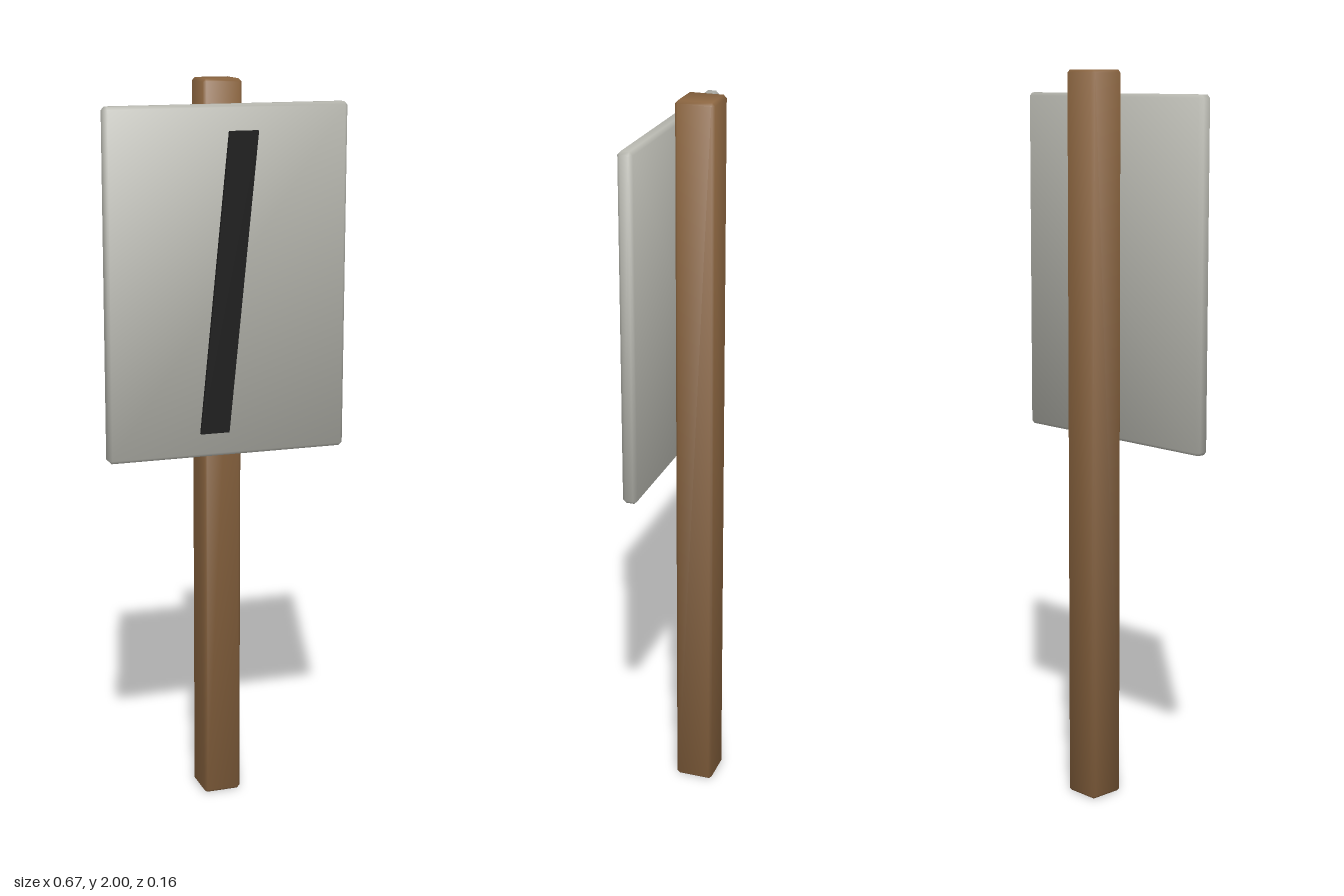
import * as THREE from 'three';
import { ConvexGeometry } from 'three/addons/geometries/ConvexGeometry.js';

const mat = (name, color) => new THREE.MeshStandardMaterial({ name, color });

// Box with chamfered edges and softly blended normals, centred on its origin
function chamferBox(w, h, d, c) {
  const half = [w / 2, h / 2, d / 2];
  const points = [];
  for (const sx of [-1, 1]) for (const sy of [-1, 1]) for (const sz of [-1, 1]) {
    for (let axis = 0; axis < 3; axis++) {
      const p = [sx, sy, sz].map((s, i) => s * (half[i] - (i === axis ? 0 : c)));
      points.push(new THREE.Vector3(...p));
    }
  }
  const geometry = new ConvexGeometry(points);
  const pos = geometry.attributes.position;
  const normal = geometry.attributes.normal;
  const n = new THREE.Vector3();
  for (let i = 0; i < pos.count; i++) {
    const p = [pos.getX(i), pos.getY(i), pos.getZ(i)];
    // Lean each normal from its own face towards the neighbouring bevels
    n.set(...p.map((v, k) => Math.sign(v) * (Math.abs(v) > half[k] - c / 2 ? 1 : 0.4))).normalize();
    normal.setXYZ(i, n.x, n.y, n.z);
  }
  return geometry;
}

export function createModel() {
  const group = new THREE.Group();
  group.name = 'signpost';
  const wood = mat('brown wood', 0x8b6540);
  const grey = mat('pale grey panel', 0xb8b8b0);
  const black = mat('black paint', 0x1c1c1c);

  const add = (name, geometry, material, x, y, z) => {
    const mesh = new THREE.Mesh(geometry, material);
    mesh.name = name;
    mesh.position.set(x, y, z);
    group.add(mesh);
  };

  // Square post, behind the panel
  add('post', chamferBox(0.106, 2, 0.106, 0.008), wood, 0, 1, -0.029);

  // Sign panel
  add('panel', chamferBox(0.666, 0.934, 0.04, 0.009), grey, 0, 1.471, 0.051);

  // Slanted stripe with level ends
  const stripe = new THREE.Shape([
    new THREE.Vector2(-0.08, -0.4),
    new THREE.Vector2(0, -0.4),
    new THREE.Vector2(0.08, 0.4),
    new THREE.Vector2(0, 0.4),
  ]);
  add('stripe', new THREE.ExtrudeGeometry(stripe, { depth: 0.009, bevelEnabled: false }), black, 0, 1.47, 0.071);

  return group;
}
